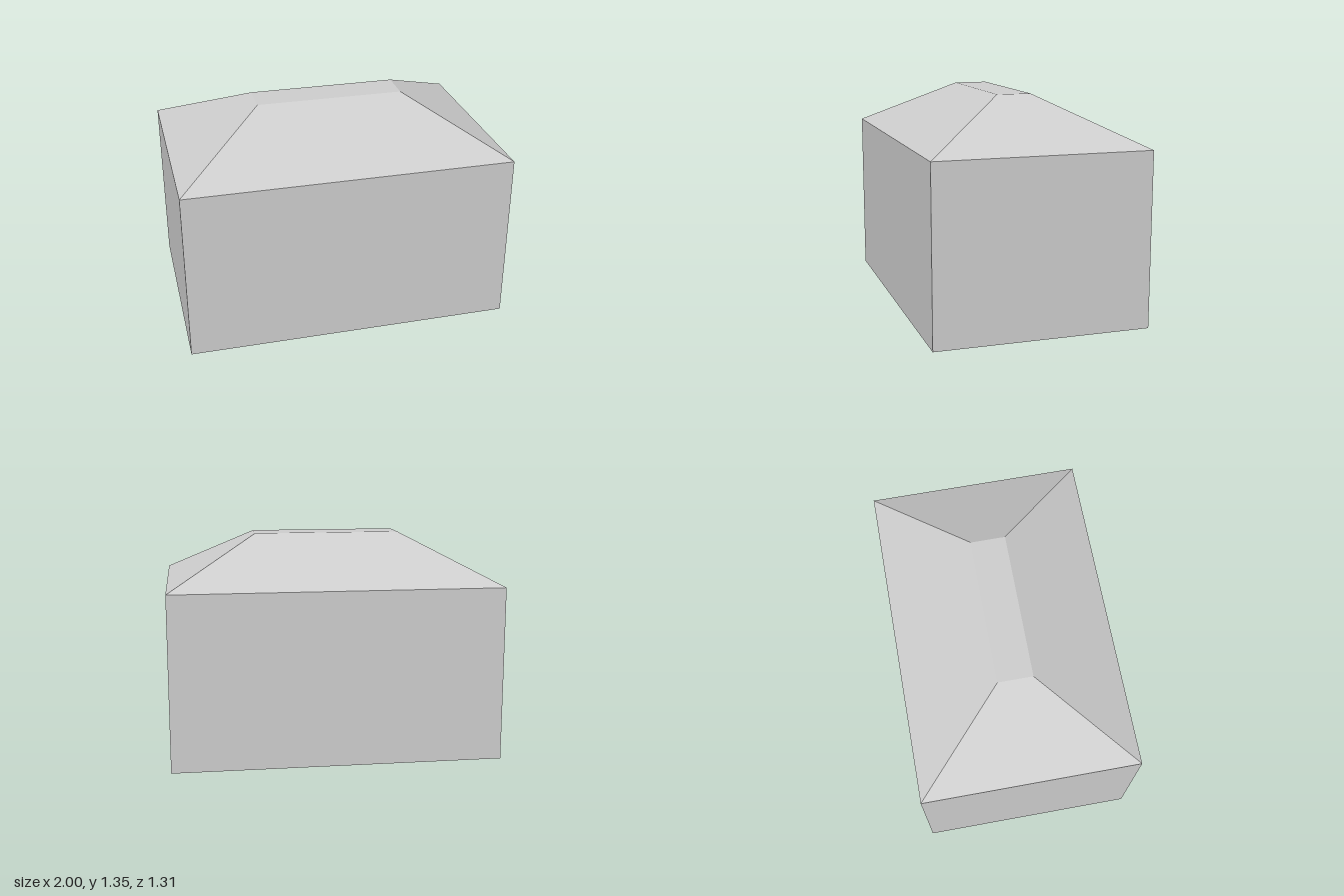
import * as THREE from 'three';

// Four corners of a level rectangle, counter-clockwise seen from above
const ring = (x, y, z) => [[-x, y, z], [x, y, z], [x, y, -z], [-x, y, -z]];

// Geometry from quads whose corners run counter-clockwise from outside
function quads(list) {
  const pos = list.flatMap(([a, b, c, d]) => [a, b, c, a, c, d].flat());
  const geo = new THREE.BufferGeometry();
  geo.setAttribute('position', new THREE.Float32BufferAttribute(pos, 3));
  geo.computeVertexNormals();
  return geo;
}

// Four faces joining a lower ring to an upper ring
const band = (lo, hi) => lo.map((p, i) => {
  const j = (i + 1) % 4;
  return [p, lo[j], hi[j], hi[i]];
});

export function createModel() {
  const group = new THREE.Group();
  const grey = new THREE.MeshStandardMaterial({ color: 0xcccccc, side: THREE.DoubleSide });
  grey.name = 'light grey';

  const base = ring(1, 0, 0.655);
  const eaves = ring(1, 1.06, 0.655);
  const crown = ring(0.45, 1.35, 0.105);

  const add = (name, faces) => {
    const mesh = new THREE.Mesh(quads(faces), grey);
    mesh.name = name;
    group.add(mesh);
  };

  // Hollow shell, open underneath
  add('walls', band(base, eaves));
  add('roofSlopes', band(eaves, crown));
  add('roofTop', [crown]);
  return group;
}
